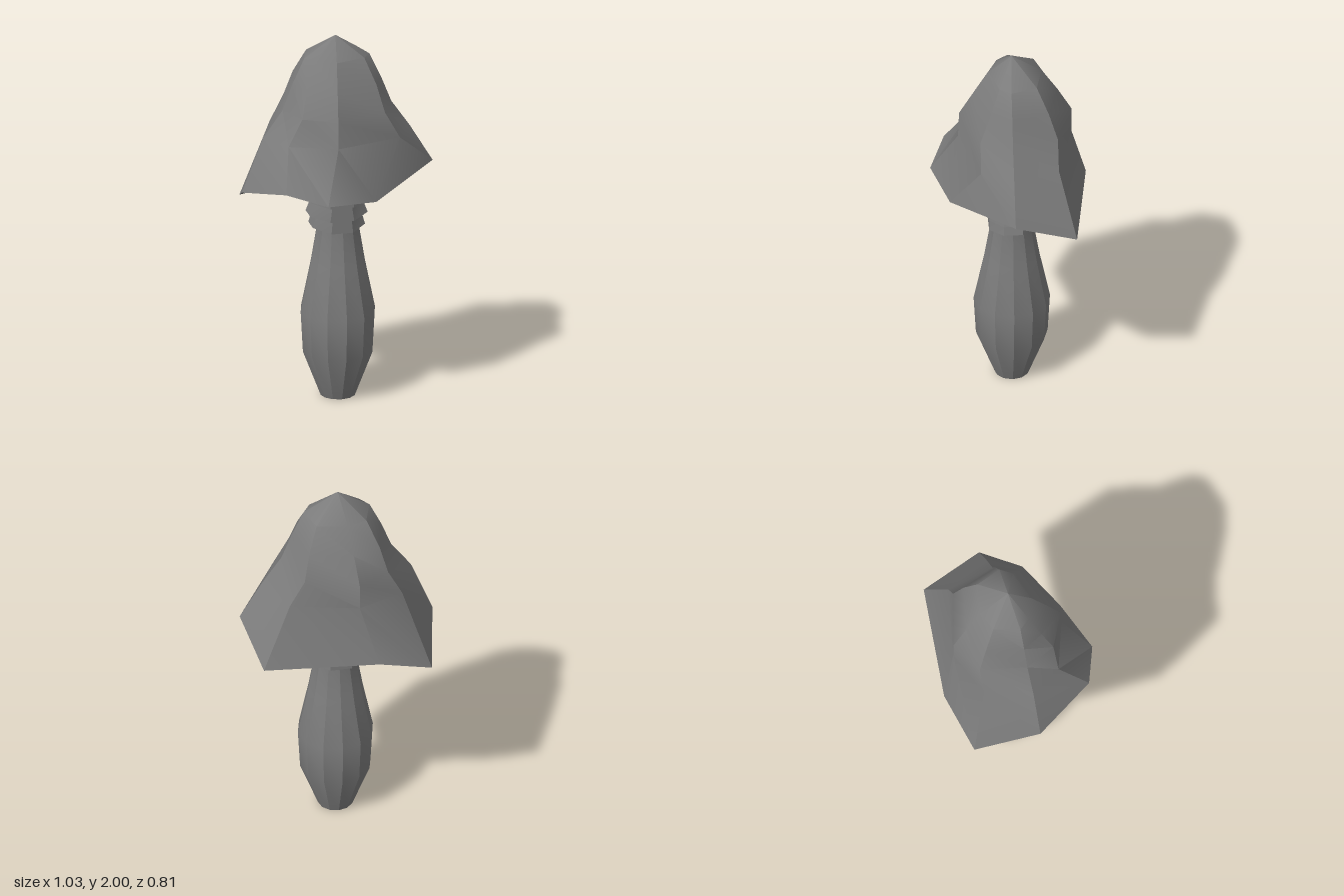
import * as THREE from 'three';
import { toCreasedNormals } from 'three/addons/utils/BufferGeometryUtils.js';

const material = new THREE.MeshStandardMaterial({ color: 0x7c7c7c, side: THREE.DoubleSide });

// Joins rings of points, running from the top down (or on into the inside), with quads.
function loft(rings, crease) {
  const n = rings[0].length;
  const indices = [];
  for (let r = 0; r < rings.length - 1; r++) {
    for (let k = 0; k < n; k++) {
      const a = r * n + k, b = r * n + (k + 1) % n;
      if (r > 0) indices.push(a, b, a + n);
      if (r < rings.length - 2) indices.push(b, b + n, a + n);
    }
  }
  const geometry = new THREE.BufferGeometry();
  geometry.setAttribute('position', new THREE.Float32BufferAttribute(rings.flat(2), 3));
  geometry.setIndex(indices);
  return toCreasedNormals(geometry, crease);
}

function part(name, geometry) {
  const mesh = new THREE.Mesh(geometry, material);
  mesh.name = name;
  return mesh;
}

// Eight points: sides at x0 / x1, front at z1, back at z0, and four diagonals.
function capRing(y, [x0, x1], [z0, z1], midX, [dx0, dx1], [dz0, dz1]) {
  return [[x1, y, 0], [dx1, y, dz1], [midX, y, z1], [dx0, y, dz1],
    [x0, y, 0], [dx0, y, dz0], [midX, y, z0], [dx1, y, dz0]];
}

const scaleRing = (ring, s, dy) => ring.map(([x, y, z]) => [x * s, y + dy, z * s]);
const apex = (y) => Array.from({ length: 8 }, () => [-0.008, y, -0.012]);

function createCap() {
  const crown = capRing(1.885, [-0.18, 0.172], [-0.17, 0.107], -0.03, [-0.135, 0.13], [-0.135, 0.06]);
  const waist = capRing(1.75, [-0.243, 0.235], [-0.255, 0.185], -0.045, [-0.192, 0.182], [-0.195, 0.112]);
  const shoulder = capRing(1.61, [-0.295, 0.29], [-0.33, 0.26], -0.06, [-0.23, 0.215], [-0.24, 0.165]);
  const flare = capRing(1.465, [-0.4, 0.39], [-0.33, 0.265], -0.06, [-0.305, 0.295], [-0.24, 0.168]);
  // Uneven drooping rim
  const rim = [[0.513, 1.26, 0], [0.13, 1.175, 0.32], [-0.15, 1.2, 0.405], [-0.355, 1.255, 0.32],
    [-0.515, 1.17, 0], [-0.443, 1.03, -0.34], [-0.15, 1.145, -0.41], [0.45, 1.132, -0.325]];
  return part('cap', loft([
    apex(2), crown, waist, shoulder, flare, rim,
    // Hollow underside
    scaleRing(rim, 0.84, 0.035), scaleRing(flare, 0.81, -0.02),
    scaleRing(shoulder, 0.76, -0.02), scaleRing(crown, 0.6, -0.07), apex(1.88),
  ], 0.62));
}

function createStem() {
  // Bulbous foot, shoulder above the skirt, thin neck into the cap
  const profile = [[0, 0], [0.092, 0], [0.188, 0.25], [0.2, 0.47], [0.145, 0.74], [0.11, 0.95],
    [0.116, 1.22], [0.072, 1.26], [0.07, 1.5], [0, 1.5]].map(([r, y]) => new THREE.Vector2(r, y));
  const stem = part('stem', toCreasedNormals(new THREE.LatheGeometry(profile, 12), 0.45));
  stem.position.set(0.005, 0, -0.012);
  return stem;
}

// Octagonal frills stacked around the neck, flaring to the sides and dipping front and back
function createSkirt() {
  const skirt = new THREE.Group();
  skirt.name = 'skirt';
  const tiers = [[1.19, 1.105, 1.27], [1.11, 1.03, 1.27], [1.03, 0.965, 1.15]];
  tiers.forEach(([top, bottom, flare], i) => {
    const geometry = new THREE.CylinderGeometry(0.128, 0.132, top - bottom, 8, 1, true, Math.PI / 8);
    const p = geometry.attributes.position;
    for (let v = 0; v < p.count; v++) {
      if (p.getY(v) > 0) continue;
      p.setX(v, p.getX(v) * flare);
      p.setY(v, p.getY(v) - 0.25 * Math.abs(p.getZ(v)));
    }
    const frill = part('frill' + (i + 1), toCreasedNormals(geometry, 0.5));
    frill.position.set(-0.001, (top + bottom) / 2, -0.012);
    skirt.add(frill);
  });
  return skirt;
}

export function createModel() {
  const model = new THREE.Group();
  model.name = 'mushroom';
  model.add(createStem(), createSkirt(), createCap());
  return model;
}
